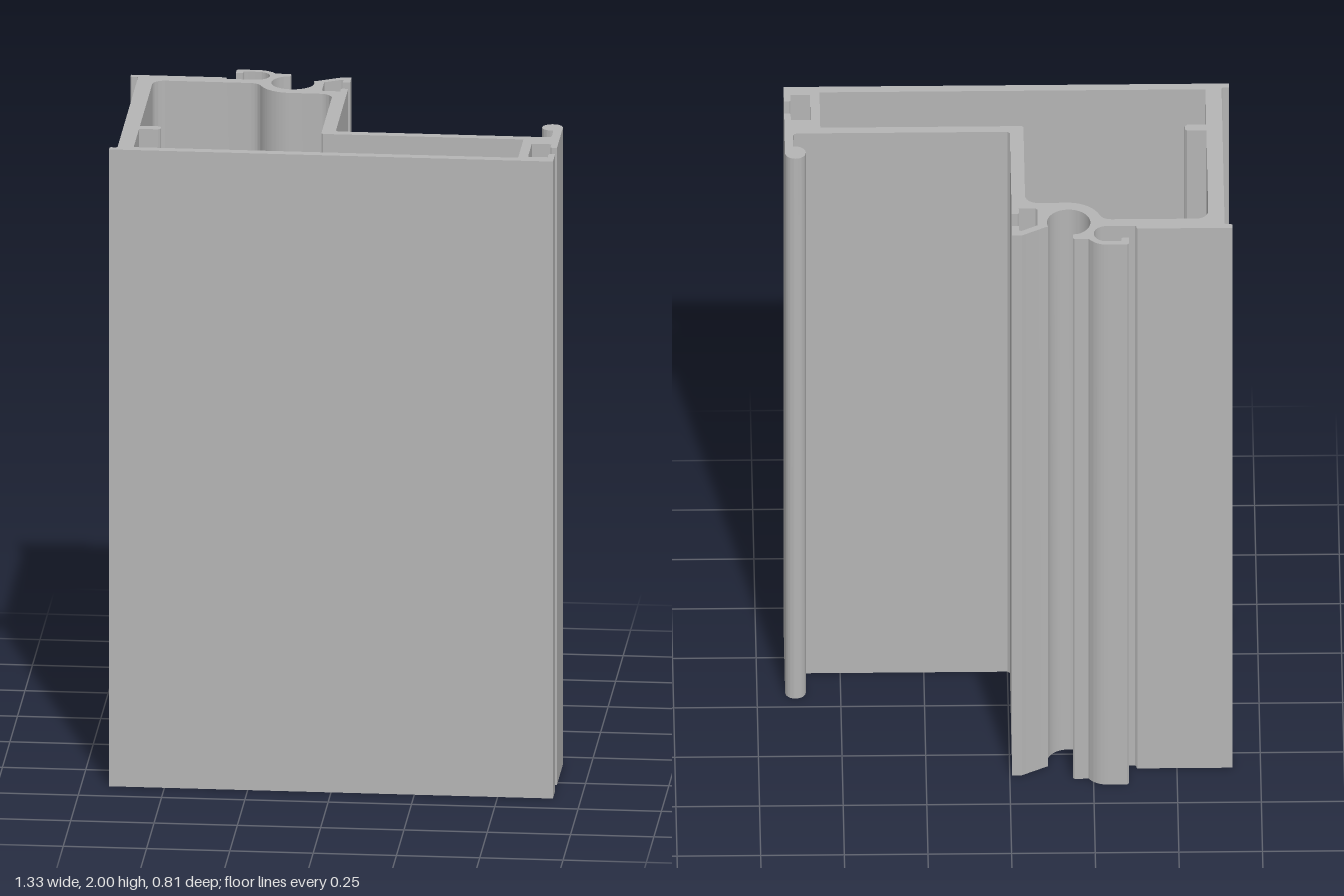
import * as THREE from 'three';
import { toCreasedNormals } from 'three/addons/utils/BufferGeometryUtils.js';

const UNIT = 280; // profile drawing units per model unit
const HEIGHT = 2;

function lines(path, ...points) {
  for (const [x, y] of points) path.lineTo(x, y);
}

// Outer contour, counter-clockwise from the front left corner
function outerContour() {
  const s = new THREE.Shape();
  s.moveTo(-186.5, -113.5);
  // front face and gasket slot on the left side
  lines(s, [186.5, -113.5], [186.5, -93], [182, -93], [181, -94], [181, -102], [164.5, -102],
    [164.5, -66.5], [181, -66.5], [181, -75], [182, -76], [186.5, -76], [186.5, -20.5]);
  // round bead on the flange
  s.absarc(177.8, -20.5, 8.7, 0, Math.PI * 1.55, false);
  // flange web and inside corner
  lines(s, [179.5, -44], [178.5, -46.5], [176, -47.5], [0, -47.5], [-2, -45.5]);
  // small C clip
  lines(s, [-2, 69], [-7, 69], [-8, 68], [-8, 61.5], [-22, 61.5], [-23.5, 63], [-23.5, 85],
    [-10, 93], [-8, 92.5], [-8, 86], [-2, 86], [-2, 99.5], [-10, 99.5], [-31, 87.5]);
  // round screw channel
  s.absarc(-49.5, 81.5, 18.2, 0.32, 2.06, true);
  lines(s, [-53, 98.5], [-53, 104], [-54, 105], [-66, 105]);
  // curled hook
  s.quadraticCurveTo(-72, 113.5, -82, 113.5);
  lines(s, [-98, 113.5], [-99.5, 112], [-99.5, 103.5], [-94.5, 103.5], [-93.5, 104.5],
    [-93.5, 107.5], [-92.5, 108.5], [-81, 108.5]);
  s.absarc(-81, 97.8, 10.7, Math.PI / 2, -Math.PI / 2, true);
  // back step, then right side with its corner lips
  lines(s, [-105, 87], [-106, 88], [-106, 90], [-107, 91], [-186.5, 91], [-186.5, 86.5],
    [-185.5, 85.5], [-181, 85.5], [-180, 84.5], [-180, -106.5], [-181, -107.5], [-185.5, -107.5],
    [-186.5, -108.5]);
  s.closePath();
  return s;
}

// Hollow chamber with the inner rib
function chamber() {
  const h = new THREE.Path();
  h.moveTo(-166.5, -105.5);
  lines(h, [156.5, -105.5], [156.5, -55.5], [-12, -55.5], [-13.5, -54], [-13.5, 43]);
  h.absarc(-24, 43, 10.5, 0, Math.PI / 2, false);
  h.absarc(-49.5, 81.5, 28, -Math.PI / 2, -2.75, true);
  h.quadraticCurveTo(-78, 77.5, -86, 77.5);
  h.lineTo(-156, 77.5);
  h.absarc(-156, 67, 10.5, Math.PI / 2, Math.PI, false);
  lines(h, [-166.5, -47], [-150.5, -47], [-148.5, -49], [-148.5, -53.5], [-150.5, -55.5],
    [-166.5, -55.5]);
  h.closePath();
  return h;
}

export function createModel() {
  const group = new THREE.Group();
  group.name = 'frameProfile';

  const aluminium = new THREE.MeshStandardMaterial({ color: 0xb4b4b4 });
  aluminium.name = 'aluminium grey';

  const section = outerContour();
  section.holes.push(chamber());

  // Extrude the section, then stand it upright
  let geometry = new THREE.ExtrudeGeometry(section, {
    depth: HEIGHT, bevelEnabled: false, curveSegments: 20, steps: 1,
  });
  geometry.scale(1 / UNIT, 1 / UNIT, 1);
  geometry.rotateX(-Math.PI / 2);
  geometry = toCreasedNormals(geometry, 0.5);

  const mesh = new THREE.Mesh(geometry, aluminium);
  mesh.name = 'extrudedProfile';
  group.add(mesh);
  return group;
}
